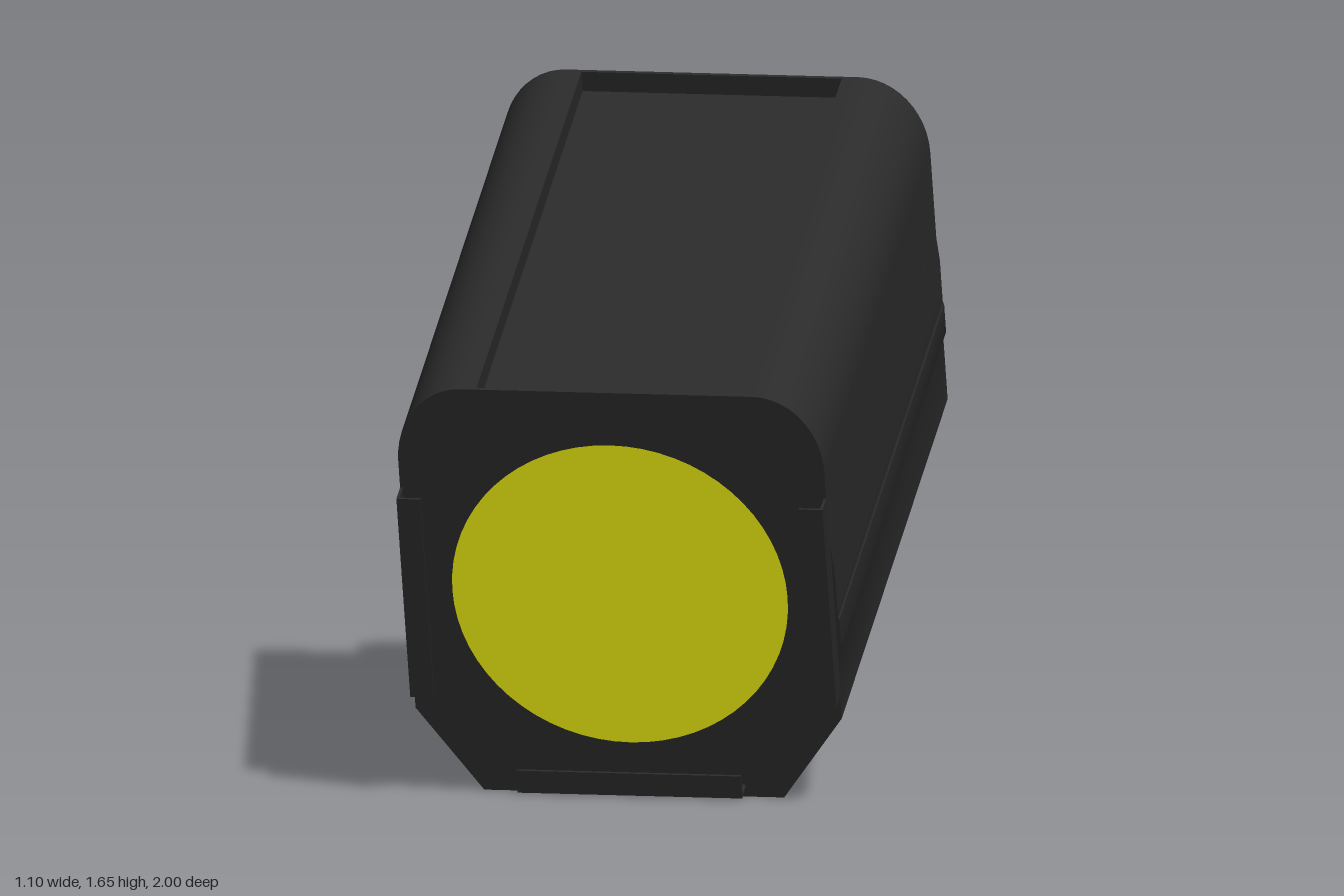
import * as THREE from 'three';
import { toCreasedNormals } from 'three/addons/utils/BufferGeometryUtils.js';

const TILT = 0.362;           // nose-down tilt of the whole unit
const W = 0.54, H = 0.573;    // half width, half height
const L = 0.8175, PLATE = 0.01; // half length, end plate thickness

const dark = new THREE.MeshStandardMaterial({ color: 0x2a2a2a });
const yellow = new THREE.MeshStandardMaterial({ color: 0xfafa14 });

// Housing cross-section: chamfered below, rounded above.
// With details: recessed top and bottom panels and a shallow rail on each side.
function housingShape(detailed) {
  const right = [];
  if (detailed) right.push([0.285, -H + 0.055], [0.285, -H]);
  right.push([0.38, -H], [W, -H + 0.23]);
  if (detailed) {
    right.push([W, -0.17], [0.55, -0.145], [0.55, -0.065], [0.547, -0.06], [0.547, 0.06], [W, 0.15]);
  }
  const n = 12;
  for (let i = 0; i <= n; i++) {
    const a = (i / n) * Math.PI / 2;
    right.push([W - 0.17 + 0.17 * Math.cos(a), H - 0.21 + 0.21 * Math.sin(a)]);
  }
  if (detailed) right.push([0.33, H], [0.33, H - 0.055]);
  const left = right.map(([x, y]) => [-x, y]).reverse();
  return new THREE.Shape([...right, ...left].map(([x, y]) => new THREE.Vector2(x, y)));
}

function extrude(shape, depth) {
  const g = new THREE.ExtrudeGeometry(shape, { depth, bevelEnabled: false, curveSegments: 20 });
  return toCreasedNormals(g, 0.4);
}

export function createModel() {
  const model = new THREE.Group();
  const unit = new THREE.Group();
  unit.name = 'tiltedUnit';
  unit.rotation.x = TILT;
  unit.position.set(0, 0.8325, 0.031);
  model.add(unit);

  function add(name, geometry, x = 0, y = 0, z = 0, material = dark) {
    const mesh = new THREE.Mesh(geometry, material);
    mesh.name = name;
    mesh.position.set(x, y, z);
    unit.add(mesh);
    return mesh;
  }
  const box = (name, w, h, d, x, y, z) => add(name, new THREE.BoxGeometry(w, h, d), x, y, z);

  // Housing with its end plates
  add('housing', extrude(housingShape(true), 2 * (L - PLATE)), 0, 0, -L + PLATE);
  const plate = extrude(housingShape(false), PLATE);
  add('frontPlate', plate, 0, 0, L - PLATE);
  add('backPlate', plate, 0, 0, -L);

  // Lens
  add('lens', new THREE.CircleGeometry(0.425, 64), 0, 0, L + 0.003, yellow);

  // L-shaped filter holders around the front
  const t = 0.007, reach = 0.058;
  for (const s of [1, -1]) {
    const side = s > 0 ? 'left' : 'right';
    box(side + 'HolderWall', t, 0.567, reach, s * (W - t / 2), 0.003, L + reach / 2);
    box(side + 'HolderLip', 0.06, 0.567, t, s * (W - 0.03), 0.003, L + reach - t / 2);
  }
  box('bottomHolderWall', 0.57, t, reach, 0, -0.543, L + reach / 2);
  box('bottomHolderLip', 0.57, 0.063, t, 0, -0.515, L + reach - t / 2);

  // Bowed carrying handle on the back
  const R = 1.228, cy = -0.128, half = 0.4, inner = 0.31, r = R - 0.09;
  const aOut = Math.asin(half / R), aIn = Math.asin(inner / r);
  const bow = new THREE.Shape();
  bow.moveTo(half, L - 0.005);
  bow.lineTo(half, cy + R * Math.cos(aOut));
  bow.absarc(0, cy, R, Math.PI / 2 - aOut, Math.PI / 2 + aOut, false);
  bow.lineTo(-half, L - 0.005);
  bow.lineTo(-inner, L - 0.005);
  bow.lineTo(-inner, cy + r * Math.cos(aIn));
  bow.absarc(0, cy, r, Math.PI / 2 + aIn, Math.PI / 2 - aIn, true);
  bow.lineTo(inner, L - 0.005);
  bow.closePath();
  add('handle', extrude(bow, 0.16).rotateX(-Math.PI / 2), 0, -0.003, 0);

  // Mounting knob under the housing
  add('mountKnob', toCreasedNormals(new THREE.CylinderGeometry(0.085, 0.07, 0.06, 32), 0.5), 0, -0.628, -0.121);
  add('mountStem', new THREE.CylinderGeometry(0.055, 0.055, 0.09, 32), 0, -0.56, -0.121);

  return model;
}
